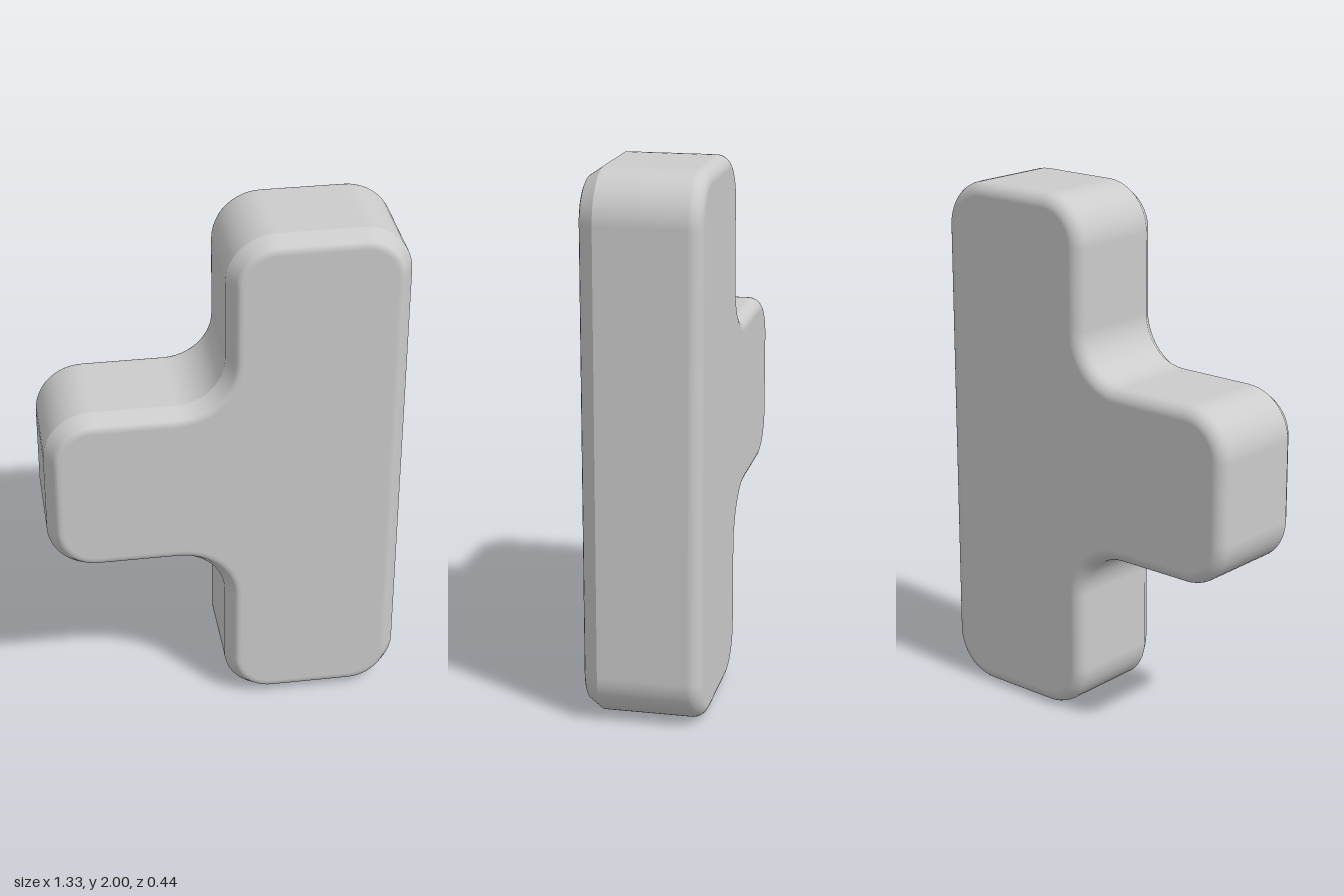
import * as THREE from 'three';

const RADIUS = 0.18, ARC_STEPS = 12;
const FRONT = 0.218, BACK = -0.218, ROUND = 0.05;

// Corners of the T outline, counter-clockwise seen from the front
const CORNERS = [[0, 0], [0.665, 0], [0.665, 2], [0, 2], [0, 1.333], [-0.665, 1.333], [-0.665, 0.667], [0, 0.667]]
  .map(([x, y]) => new THREE.Vector2(x, y));

// Rounded outline moved inward by inset; each entry holds a point and its outward normal
function outline(inset) {
  const ring = [];
  CORNERS.forEach((corner, i) => {
    const into = corner.clone().sub(CORNERS.at(i - 1)).normalize();
    const out = CORNERS[(i + 1) % CORNERS.length].clone().sub(corner).normalize();
    const turn = Math.sign(into.cross(out)); // +1 convex, -1 concave
    const centre = corner.clone().addScaledVector(into, -RADIUS).addScaledVector(out, RADIUS);
    const start = Math.atan2(-into.x, into.y);
    for (let s = 0; s <= ARC_STEPS; s++) {
      const t = start + turn * (s / ARC_STEPS) * Math.PI / 2;
      const normal = new THREE.Vector2(Math.cos(t), Math.sin(t));
      ring.push({ point: centre.clone().addScaledVector(normal, turn * RADIUS - inset), normal });
    }
  });
  return ring;
}

// Edge profile from front to back: [inset, z, tilt of the normal towards the front]
function edgeProfile() {
  const profile = [
    [0.06, FRONT, Math.PI / 2], [0.047, FRONT - 0.001, 1.3], [0.036, FRONT - 0.006, 0.8],
    [0.032, FRONT - 0.011, 0.57], [0, 0.16, 0.57], [0, 0.16, 0], // chamfer with a crisp lower edge
  ];
  for (let s = 0; s <= 8; s++) { // rounded back edge
    const t = (s / 8) * Math.PI / 2;
    profile.push([ROUND * (1 - Math.cos(t)), BACK + ROUND * (1 - Math.sin(t)), -t]);
  }
  return profile;
}

function wallGeometry(profile) {
  const positions = [], normals = [], index = [];
  const count = outline(0).length;
  profile.forEach(([inset, z, tilt], k) => {
    outline(inset).forEach(({ point, normal }, j) => {
      positions.push(point.x, point.y, z);
      normals.push(normal.x * Math.cos(tilt), normal.y * Math.cos(tilt), Math.sin(tilt));
      if (k === profile.length - 1) return;
      const a = k * count + j, b = k * count + (j + 1) % count;
      index.push(a, a + count, b, b, a + count, b + count);
    });
  });
  const geometry = new THREE.BufferGeometry();
  geometry.setAttribute('position', new THREE.Float32BufferAttribute(positions, 3));
  geometry.setAttribute('normal', new THREE.Float32BufferAttribute(normals, 3));
  geometry.setIndex(index);
  return geometry;
}

// Flat face; the back one is drawn mirrored and turned round
function faceGeometry(inset, z, isBack) {
  const points = outline(inset).map(({ point }) => new THREE.Vector2(isBack ? -point.x : point.x, point.y));
  const geometry = new THREE.ShapeGeometry(new THREE.Shape(points));
  if (isBack) geometry.rotateY(Math.PI);
  return geometry.translate(0, 0, z);
}

export function createModel() {
  const group = new THREE.Group();
  group.name = 'tBlock';
  const material = new THREE.MeshStandardMaterial({ color: 0xcccccc });
  const profile = edgeProfile();
  const add = (name, geometry) => {
    const mesh = new THREE.Mesh(geometry, material);
    mesh.name = name;
    group.add(mesh);
  };
  add('sideWall', wallGeometry(profile));
  add('frontFace', faceGeometry(profile[0][0], FRONT, false));
  add('backFace', faceGeometry(ROUND, BACK, true));
  return group;
}
